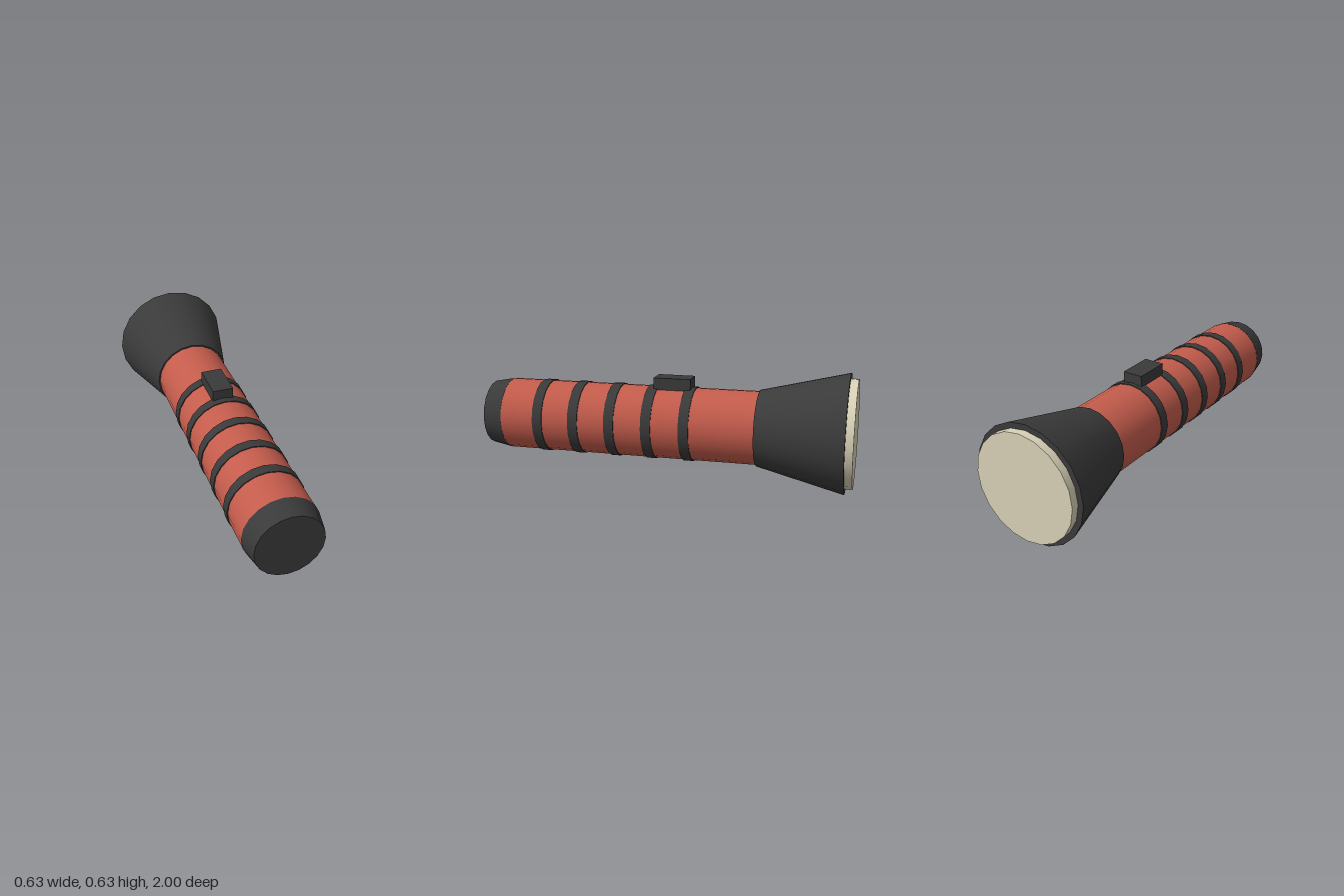
import * as THREE from 'three';

const SIDES = 20;
const AXIS_Y = 0.315;

export function createModel() {
  const group = new THREE.Group();
  group.name = 'flashlight';

  const mat = (name, color) => {
    const m = new THREE.MeshStandardMaterial({ color });
    m.name = name;
    return m;
  };
  const red = mat('red casing', 0xc45c4c);
  const dark = mat('dark rubber', 0x3a3a3a);
  const cream = mat('cream lens', 0xd9d2b8);

  // Round section along z, from front (zFront, rFront) to back (zBack, rBack)
  const section = (name, material, zFront, rFront, zBack, rBack) => {
    const geo = new THREE.CylinderGeometry(rFront, rBack, zFront - zBack, SIDES);
    geo.rotateX(Math.PI / 2);
    const mesh = new THREE.Mesh(geo, material);
    mesh.name = name;
    mesh.position.set(0, AXIS_Y, (zFront + zBack) / 2);
    group.add(mesh);
  };

  // Tapered end cap, barrel, flared head and lens
  section('endCap', dark, 1, 0.175, 0.89, 0.196);
  section('barrel', red, 0.89, 0.195, -0.5, 0.195);
  section('head', dark, -0.5, 0.203, -0.96, 0.315);
  section('lens', cream, -0.955, 0.285, -1, 0.285);

  // Grip rings
  for (let i = 0; i < 5; i++) {
    const z = 0.677 - i * 0.203;
    section(`gripRing${i + 1}`, dark, z + 0.027, 0.2, z - 0.027, 0.2);
  }

  // Switch block, sunk into the barrel
  const button = new THREE.Mesh(new THREE.BoxGeometry(0.11, 0.09, 0.2), dark);
  button.name = 'switch';
  button.position.set(0, 0.52, -0.04);
  group.add(button);

  return group;
}
